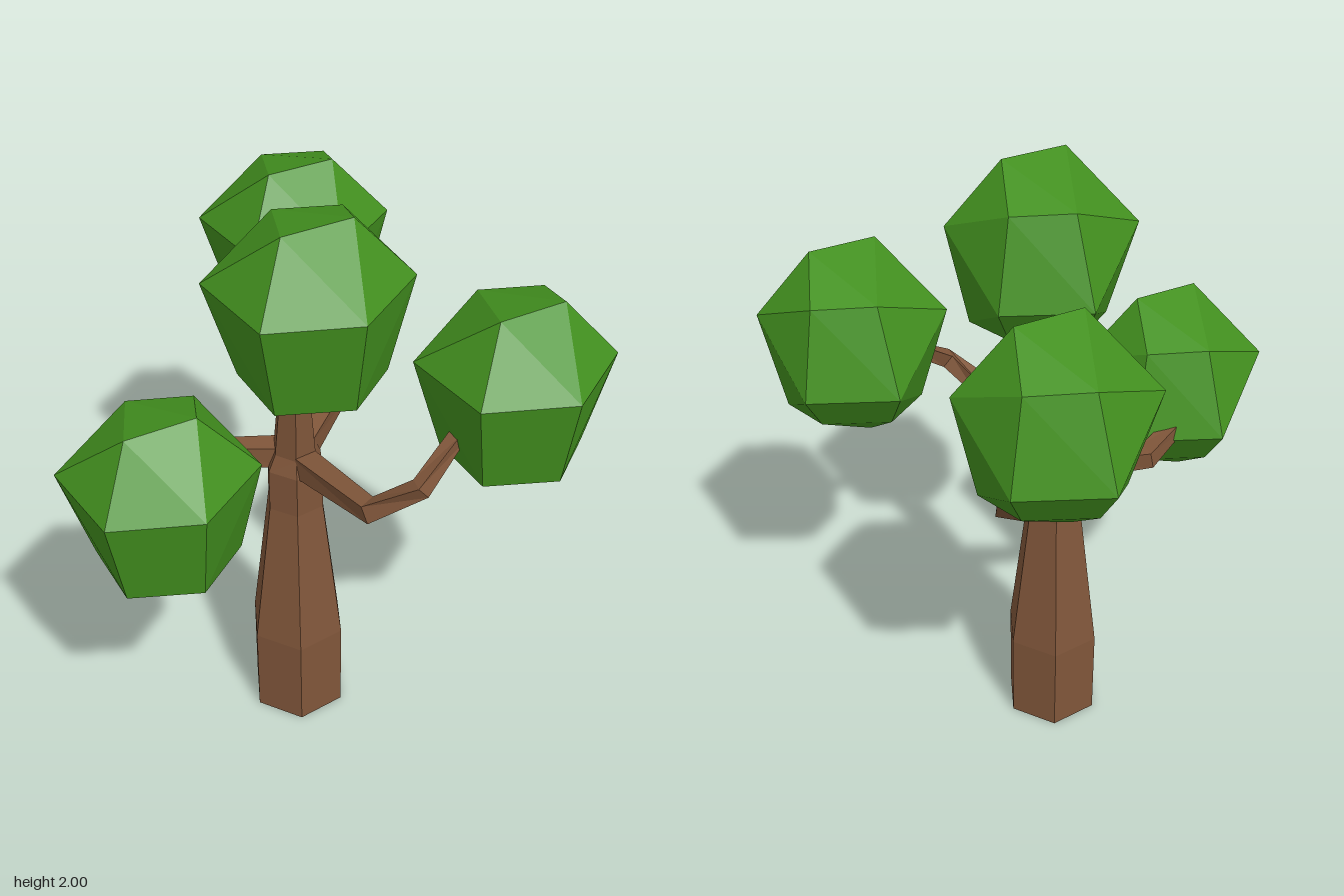
import * as THREE from 'three';
import { ConvexGeometry } from 'three/addons/geometries/ConvexGeometry.js';

const V = (p) => new THREE.Vector3(p[0], p[1], p[2]);

// Faceted limb through [x, y, z, radius] stations, capped at both ends
function limb(stations, sides, ref, turn = 0) {
  const centres = stations.map(V);
  const pos = [], index = [];
  const last = centres.length - 1;
  centres.forEach((c, i) => {
    const before = c.clone().sub(centres[Math.max(i - 1, 0)]).normalize();
    const after = centres[Math.min(i + 1, last)].clone().sub(c).normalize();
    const t = before.add(after).normalize();
    const u = ref.clone().cross(t).normalize();
    const v = t.clone().cross(u);
    for (let j = 0; j < sides; j++) {
      const a = turn + (j / sides) * Math.PI * 2;
      const p = c.clone()
        .addScaledVector(u, Math.cos(a) * stations[i][3])
        .addScaledVector(v, Math.sin(a) * stations[i][3]);
      pos.push(p.x, p.y, p.z);
    }
  });
  for (let i = 0; i < last; i++) {
    for (let j = 0; j < sides; j++) {
      const k = (j + 1) % sides;
      const a = i * sides + j, b = i * sides + k;
      index.push(a, b, b + sides, a, b + sides, a + sides);
    }
  }
  const end = last * sides;
  for (let j = 1; j < sides - 1; j++) {
    index.push(0, j + 1, j, end, end + j, end + j + 1);
  }
  const g = new THREE.BufferGeometry();
  g.setAttribute('position', new THREE.Float32BufferAttribute(pos, 3));
  g.setIndex(index);
  const flat = g.toNonIndexed();
  flat.computeVertexNormals();
  return flat;
}

export function createModel() {
  const tree = new THREE.Group();
  tree.name = 'tree';
  const bark = new THREE.MeshStandardMaterial({ color: 0x80563a, flatShading: true });
  const leaf = new THREE.MeshStandardMaterial({ color: 0x43911f, flatShading: true });
  const add = (name, geometry, material) => {
    const m = new THREE.Mesh(geometry, material);
    m.name = name;
    tree.add(m);
    return m;
  };

  // Six-sided trunk, narrowing into the leader that holds the top crown
  const X = new THREE.Vector3(1, 0, 0), Y = new THREE.Vector3(0, 1, 0);
  add('trunk', limb([
    [-0.11, 0, 0.085, 0.165],
    [-0.11, 0.33, 0.085, 0.165],
    [-0.11, 0.86, 0.085, 0.098],
    [-0.11, 1.01, 0.085, 0.098],
    [-0.11, 1.07, 0.088, 0.073],
    [-0.11, 1.43, 0.13, 0.042],
  ], 6, X), bark);

  // Square, bent branches
  const branches = {
    leftBranch: [[-0.11, 1.03, 0.09, 0.055], [0.09, 1.09, 0.44, 0.042], [0.23, 1.2, 0.485, 0.034], [0.35, 1.31, 0.38, 0.028]],
    rightBranch: [[-0.11, 1.035, 0.07, 0.055], [-0.41, 1.06, 0.075, 0.042], [-0.53, 1.11, 0.2, 0.034]],
    backBranch: [[-0.1, 1.03, 0.07, 0.06], [0.05, 1.09, -0.2, 0.058], [0.055, 1.33, -0.4, 0.052]],
  };
  for (const [name, path] of Object.entries(branches)) {
    add(name, limb(path, 4, Y, Math.PI / 4), bark);
  }

  // One irregular faceted crown, repeated at each branch end
  const crown = new ConvexGeometry([
    // upper facets
    [-0.08, 0.29, 0.12], [0.12, 0.29, 0.03], [-0.09, 0.21, -0.18], [0.11, 0.21, -0.19],
    // widest ring
    [0.298, 0.09, 0], [-0.298, 0.09, 0], [0.135, 0.095, 0.258],
    [-0.145, 0.085, 0.258], [0.145, -0.08, -0.258], [-0.145, -0.08, -0.258],
    // lower ring and tip
    [-0.11, -0.22, 0.2], [0.116, -0.215, 0.2], [-0.206, -0.22, -0.01], [0.228, -0.235, -0.02],
    [0.11, -0.22, -0.165], [-0.11, -0.22, -0.165], [-0.037, -0.3, -0.077],
  ].map(V));
  const crowns = {
    topCrown: [-0.075, 1.705, 0.285],
    backCrown: [-0.075, 1.535, -0.395],
    leftCrown: [0.52, 1.415, 0.285],
    rightCrown: [-0.52, 1.155, 0.393],
  };
  for (const [name, p] of Object.entries(crowns)) {
    add(name, crown, leaf).position.set(...p);
  }
  return tree;
}
